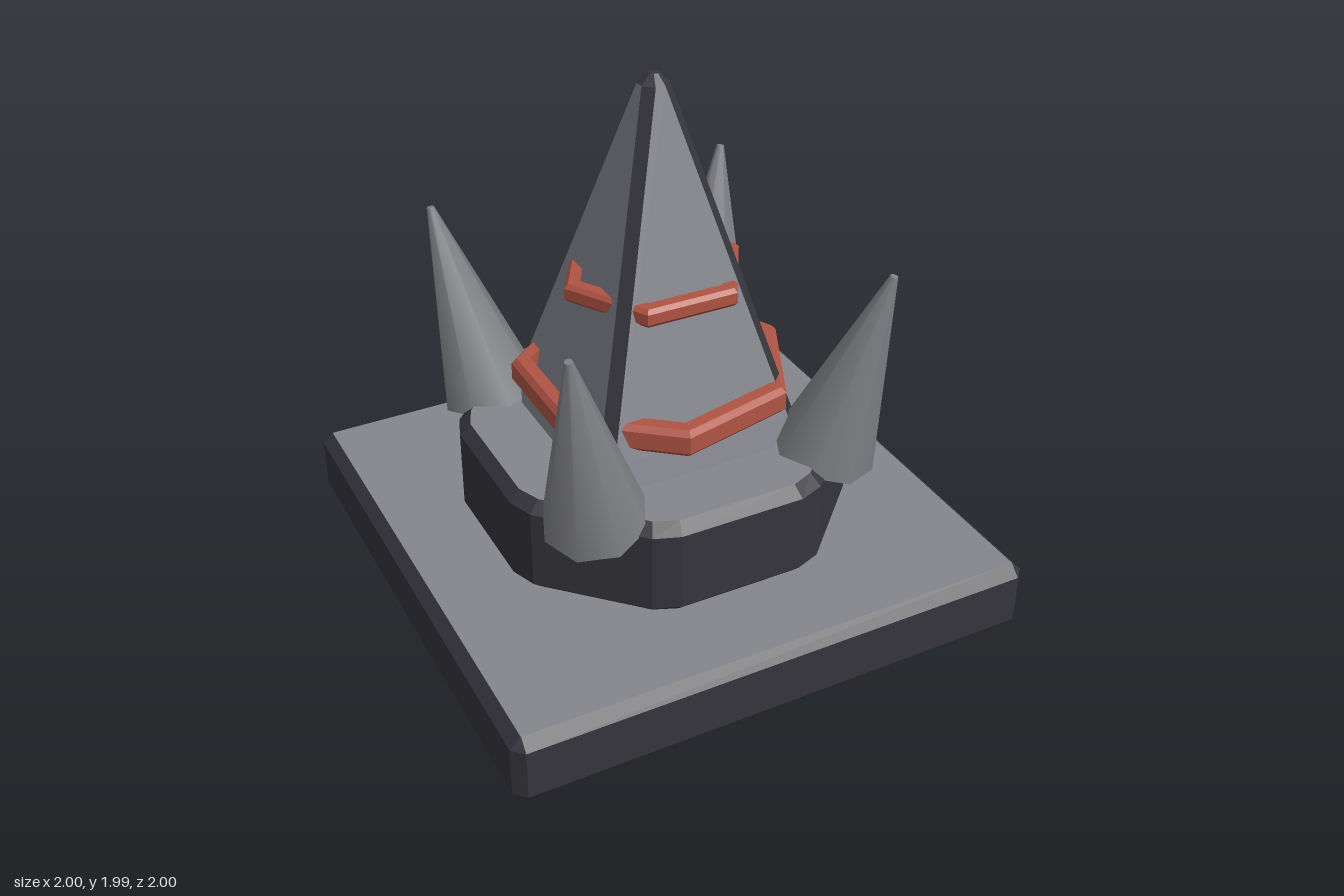
import * as THREE from 'three';

const mat = (name, color) => {
  const m = new THREE.MeshStandardMaterial({ color });
  m.name = name;
  m.side = THREE.DoubleSide;
  return m;
};

// A ring at height y: one corner's points, turned four times around the y axis
function ring(y, corner) {
  const pts = [];
  for (let k = 0; k < 4; k++) {
    for (let [a, b] of corner) {
      for (let t = 0; t < k; t++) [a, b] = [-b, a];
      pts.push([a, y, -b]);
    }
  }
  return pts;
}

const chamfered = (y, h, c) => ring(y, [[h, h - c], [h - c, h]]);

// Flat-sided loft through rings; pick(level, side) gives the material index
function loft(name, rings, materials, pick) {
  const buckets = materials.map(() => []);
  const n = rings[0].length;
  for (let l = 0; l < rings.length - 1; l++) {
    for (let i = 0; i < n; i++) {
      const j = (i + 1) % n, a = rings[l], b = rings[l + 1];
      buckets[pick(l, i)].push(a[i], a[j], b[j], a[i], b[j], b[i]);
    }
  }
  const top = rings[rings.length - 1], bottom = rings[0];
  for (let i = 1; i < n - 1; i++) {
    buckets[pick('cap', 0)].push(top[0], top[i], top[i + 1], bottom[0], bottom[i + 1], bottom[i]);
  }
  const g = new THREE.BufferGeometry();
  g.setAttribute('position', new THREE.Float32BufferAttribute(buckets.flat(2), 3));
  let start = 0;
  buckets.forEach((b, i) => { g.addGroup(start, b.length, i); start += b.length; });
  g.computeVertexNormals();
  const mesh = new THREE.Mesh(g, materials);
  mesh.name = name;
  return mesh;
}

// Faceted band with bevelled edges
function band(name, sides, inner, outer, y0, y1, bevel, material) {
  const profile = [
    [inner, y0], [outer - bevel, y0], [outer, y0 + bevel], [outer, y1 - bevel],
    [outer - bevel, y1], [inner, y1], [inner, y0],
  ].map(([x, y]) => new THREE.Vector2(x, y));
  const g = new THREE.LatheGeometry(profile, sides).toNonIndexed();
  g.computeVertexNormals();
  const mesh = new THREE.Mesh(g, material);
  mesh.rotation.y = Math.PI / 2;
  mesh.name = name;
  return mesh;
}

export function createModel() {
  const stone = mat('grey stone', 0x84868d);
  const dark = mat('dark trim', 0x36353c);
  const spikeGrey = mat('spike grey', 0x7f8084);
  const red = mat('red band', 0xb05443);
  const model = new THREE.Group();
  model.name = 'spikedTower';
  const capsOnly = (l) => (l === 'cap' ? 0 : 1);

  // Square base slab with bevelled edges
  model.add(loft('base', [
    chamfered(0, 0.96, 0.001), chamfered(0.04, 1, 0.04),
    chamfered(0.23, 1, 0.04), chamfered(0.27, 0.96, 0.001),
  ], [stone, dark], capsOnly));

  // Plinth with cut corners
  const plinthRing = (y, d) => ring(y, [
    [0.675 - d, 0.235 - d / 4], [0.64 - d, 0.33 - d / 2],
    [0.33 - d / 2, 0.64 - d], [0.235 - d / 4, 0.675 - d],
  ]);
  model.add(loft('plinth', [
    plinthRing(0.27, 0.04), plinthRing(0.31, 0), plinthRing(0.61, 0), plinthRing(0.65, 0.04),
  ], [stone, dark], capsOnly));

  // Pyramid: grey faces, dark corner strips and a dark tip
  model.add(loft('pyramid', [
    chamfered(0.64, 0.413, 0.15), chamfered(0.75, 0.384, 0.04),
    chamfered(1.95, 0.053, 0.035), chamfered(1.985, 0.018, 0.01),
  ], [stone, dark], (l, i) => (l === 0 || (l === 1 && i % 2 === 1) ? 0 : 1)));

  // Red bands partly sunk into the pyramid
  model.add(band('lowerBand', 7, 0.445, 0.515, 0.78, 0.885, 0.02, red));
  model.add(band('upperBand', 6, 0.285, 0.345, 1.2, 1.27, 0.015, red));

  // Four spikes leaning outwards from the plinth corners
  for (const sx of [-1, 1]) {
    for (const sz of [-1, 1]) {
      const foot = new THREE.Vector3(0.455 * sx, 0.615, 0.455 * sz);
      const tip = new THREE.Vector3(0.6 * sx, 1.36, 0.6 * sz);
      const axis = tip.clone().sub(foot);
      const spike = new THREE.Mesh(new THREE.CylinderGeometry(0.014, 0.19, axis.length(), 8), spikeGrey);
      spike.position.copy(foot).add(tip).multiplyScalar(0.5);
      spike.quaternion.setFromUnitVectors(new THREE.Vector3(0, 1, 0), axis.normalize());
      spike.name = (sz > 0 ? 'front' : 'back') + (sx > 0 ? 'Left' : 'Right') + 'Spike';
      model.add(spike);
    }
  }
  return model;
}
